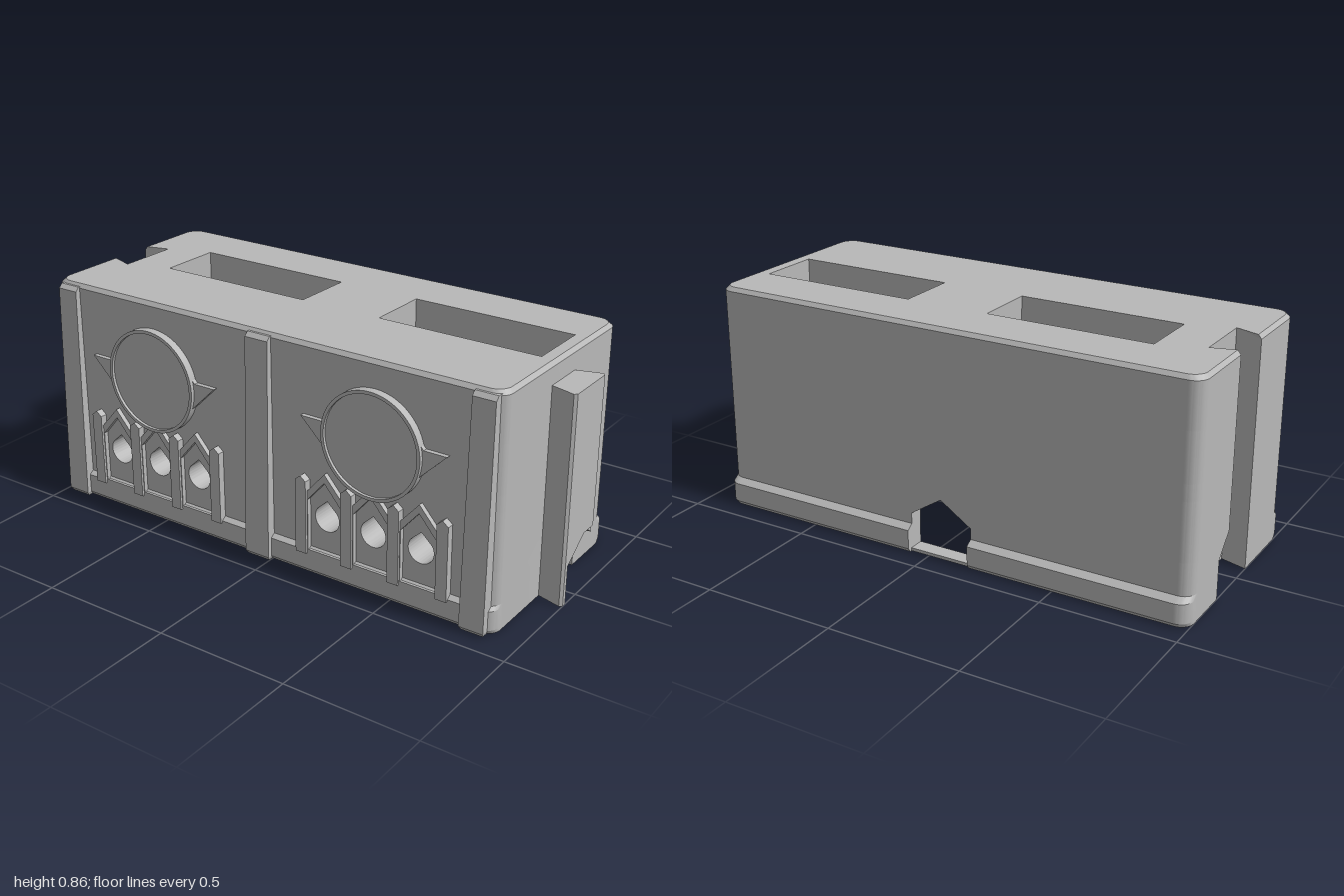
import * as THREE from 'three';
import { toCreasedNormals } from 'three/addons/utils/BufferGeometryUtils.js';

const stone = new THREE.MeshStandardMaterial({ color: 0xb8b8b8 });
stone.name = 'grey stone';

export function createModel() {
  const model = new THREE.Group();
  const add = (name, geometry) => {
    const mesh = new THREE.Mesh(toCreasedNormals(geometry, 0.22), stone);
    mesh.name = name;
    model.add(mesh);
  };

  // Solid through stacked [y, plan] levels; plans are [x, z] points, holes run straight up
  function loft(name, levels, holes = []) {
    const v2 = (pts) => pts.map(([x, z]) => new THREE.Vector2(x, z));
    const ccw = !THREE.ShapeUtils.isClockWise(v2(levels[0][1]));
    const rows = levels.map(([y, p]) => [y, v2(ccw ? p : [...p].reverse())]);
    const cuts = holes.map((h) => {
      const p = v2(h);
      return THREE.ShapeUtils.isClockWise(p) ? p : p.reverse();
    });
    const out = [];
    const put = (y, p) => out.push(p.x, y, p.y);
    const cap = ([y, contour], up) => {
      const all = [contour, ...cuts].flat();
      for (const [a, b, c] of THREE.ShapeUtils.triangulateShape(contour, cuts)) {
        for (const i of up ? [c, b, a] : [a, b, c]) put(y, all[i]);
      }
    };
    const side = (y0, p0, y1, p1) => p0.forEach((a, i) => {
      const j = (i + 1) % p0.length;
      put(y0, a); put(y1, p1[i]); put(y1, p1[j]);
      put(y0, a); put(y1, p1[j]); put(y0, p0[j]);
    });
    const first = rows[0], last = rows[rows.length - 1];
    cap(first, false);
    cap(last, true);
    for (let k = 0; k + 1 < rows.length; k++) side(...rows[k], ...rows[k + 1]);
    for (const c of cuts) side(first[0], c, last[0], c);
    const g = new THREE.BufferGeometry();
    g.setAttribute('position', new THREE.Float32BufferAttribute(out, 3));
    add(name, g);
  }
  // Extrusion of a front-facing shape from z0 to z1
  function plate(name, shape, z0, z1) {
    const g = new THREE.ExtrudeGeometry(shape, { depth: z1 - z0, bevelEnabled: false, curveSegments: 48 });
    add(name, g.translate(0, 0, z0));
  }
  const polygon = (pts) => new THREE.Shape(pts.map(([x, y]) => new THREE.Vector2(x, y)));
  const rect = (x0, x1, z0, z1) => [[x0, z0], [x1, z0], [x1, z1], [x0, z1]];
  const circle = (x, z, r) => Array.from({ length: 20 }, (_, i) =>
    [x + r * Math.cos(i * Math.PI / 10), z + r * Math.sin(i * Math.PI / 10)]);
  // Rounded outside corner at (x, z), starting at angle a (quarter turns)
  const corner = (x, z, a, r = 0.05) => Array.from({ length: 13 }, (_, i) => {
    const t = (a + i / 12) * Math.PI / 2;
    return [x - Math.sign(x) * r + r * Math.cos(t), z - Math.sign(z) * r + r * Math.sin(t)];
  });
  const mix = (a, b, t) => a + (b - a) * t;

  // Inner faces of the hollow
  const inL = -0.86, inR = 0.845, inBack = -0.345, inFront = 0.245;

  // Upper block with the dovetail groove, bevelled top edge and two stepped pockets
  const outline = (d) => [
    ...corner(0.9 - d, 0.39 - d, 0), ...corner(-1 + d, 0.39 - d, 1),
    [-1 + d, 0.08], [-0.9, 0.11], [-0.9, -0.125], [-1 + d, -0.1],
    ...corner(-1 + d, -0.4 + d, 2), ...corner(0.9 - d, -0.4 + d, 3)];
  const offsets = [0, 0.953];
  const pockets = offsets.map((o) => rect(-0.735 + o, -0.108 + o, -0.185, 0.055));
  const wells = offsets.flatMap((o) => [rect(-0.64 + o, -0.2 + o, -0.185, 0.055),
    circle(-0.685 + o, -0.065, 0.018), circle(-0.16 + o, -0.065, 0.018)]);
  const cableHoles = offsets.map((o) => rect(-0.64 + o, -0.545 + o, -0.12, -0.01));
  loft('upperBlock', [[0.68, outline(0)], [0.845, outline(0)], [0.86, outline(0.012)]], pockets);
  loft('pocketLedges', [[0.5, outline(0)], [0.68, outline(0)]], wells);
  loft('ceiling', [[0.44, outline(0)], [0.5, outline(0)]], cableHoles);

  // Pocket boxes, with a lower lip that follows the tunnel roof beside the cable hole
  offsets.forEach((o, i) => {
    const x0 = -0.735 + o, x1 = -0.18 + o, h0 = -0.64 + o, h1 = -0.545 + o;
    const p = rect(x0, x1, -0.21, 0.08);
    loft('pocketBox', [[0.222, p], [0.44, p]], [cableHoles[i]]);
    for (const [a, b, limit] of [[x0, h0, -0.068], [h0, h1, -0.12], [h1, x1, -0.068]]) {
      loft('pocketBoxLip', [[0.193, rect(a, b, -0.21, Math.min(-0.11, limit))], [0.223, rect(a, b, -0.21, limit)]]);
    }
  });

  // End walls above the tunnel
  const span = (name, p, y0 = 0.225, y1 = 0.44) => loft(name, [[y0, p], [y1, p]]);
  span('grooveEndWall', [[inL, 0.39], ...corner(-1, 0.39, 1), [-1, 0.08], [-0.9, 0.11],
    [-0.9, -0.125], [-1, -0.1], ...corner(-1, -0.4, 2), [inL, -0.4]]);
  span('tongueEndWall', [...corner(0.9, 0.39, 0), [inR, 0.39], [inR, -0.4], ...corner(0.9, -0.4, 3)]);
  span('backWall', rect(inL, inR, -0.4, inBack));

  // Lower walls, closing towards the gabled tunnel: t runs from open to closed
  const legs = {
    grooveFrontLeg: (t) => [[inL, 0.39], ...corner(-1, 0.39, 1), [-1, 0.08], [-0.9, 0.11],
      [-0.899, mix(0.077, -0.035, t)], [inL, mix(0.077, -0.035, t)]],
    grooveBackLeg: (t) => [...corner(-1, -0.4, 2), [inL, -0.4], [inL, mix(-0.175, -0.065, t)],
      [-0.899, mix(-0.175, -0.065, t)], [-0.9, mix(-0.175, -0.125, t)], [-1, mix(-0.175, -0.1, t)]],
    tongueFrontLeg: (t) => [...corner(0.9, 0.39, 0), [inR, 0.39],
      [inR, mix(0.077, -0.035, t)], [0.9, mix(0.077, -0.035, t)]],
    tongueBackLeg: (t) => [[inR, -0.4], ...corner(0.9, -0.4, 3),
      [0.9, mix(-0.175, -0.065, t)], [inR, mix(-0.175, -0.065, t)]],
    backLowerWallA: (t) => rect(inL, mix(-0.17, -0.05, t), -0.4, inBack),
    backLowerWallB: (t) => rect(mix(0.075, -0.045, t), inR, -0.4, inBack),
  };
  for (const [name, f] of Object.entries(legs)) loft(name, [[0, f(0)], [0.147, f(0)], [0.225, f(1)]]);
  span('doorwayStrip', rect(-0.17, 0.075, -0.405, inBack), 0, 0.012);

  // Dovetail tongue with chamfered edges, cut away below by the tunnel
  span('tongue', [[0.9, 0.078], [0.99, 0.103], [1, 0.094], [1, -0.102], [0.99, -0.112], [0.9, -0.085]], 0.225, 0.78);
  const foot = (t) => [[0.9, 0.078], [0.99, 0.103], [1, 0.094], [1, mix(0.077, -0.035, t)], [0.9, mix(0.077, -0.035, t)]];
  loft('tongueFoot', [[0, foot(0)], [0.147, foot(0)], [0.225, foot(1)]]);
  const heel = (a, b) => [[0.9, -0.085], [0.9, a], [0.99, b], [0.99, -0.112]];
  loft('tongueHeel', [[0.192, heel(-0.0849, -0.1119)], [0.211, heel(-0.0848, -0.085)], [0.225, heel(-0.065, -0.065)]]);

  // Plinth mouldings with chamfered foot and sloped top
  const mould = (name, f) => loft(name, [[0, f(0.012)], [0.016, f(0)], [0.088, f(0)], [0.106, f(0.025)]]);
  mould('backPlinth', (d) => [...corner(-1, -0.425 + d, 2), [-0.17, -0.425 + d], [-0.17, -0.37], [-1, -0.345]]);
  mould('backPlinth', (d) => [[0.075, -0.425 + d], ...corner(0.9, -0.425 + d, 3), [0.9, -0.345], [0.075, -0.37]]);
  mould('frontPlinth', (d) => [...corner(0.9, 0.408 - d, 0), ...corner(-1, 0.408 - d, 1), [-1, 0.33], [0.9, 0.33]]);

  // Front wall with teardrop window openings, on a slotted base
  const centres = [-0.528, 0.425], bays = [-0.19, 0, 0.19];
  const wall = polygon([[inL, 0.1], [inR, 0.1], [inR, 0.44], [inL, 0.44]]);
  for (const c of centres) for (const b of bays) {
    const hole = new THREE.Path();
    hole.absarc(c + b, 0.228, 0.05, Math.PI * 0.8, Math.PI * 2.2, false);
    hole.lineTo(c + b, 0.295);
    hole.closePath();
    wall.holes.push(hole);
  }
  plate('frontWall', wall, inFront, 0.39);
  loft('frontBase', [[0, rect(inL, inR, inFront, 0.345)], [0.1, rect(inL, inR, inFront, 0.39)]],
    [rect(-0.83, -0.13, 0.303, 0.328), rect(0.12, 0.8, 0.303, 0.328)]);

  // Leaning buttresses
  for (const [x0, x1] of [[-0.975, -0.882], [-0.1, 0.003], [0.787, 0.88]]) {
    loft('buttress', [[0, rect(x0 + 0.006, x1 - 0.006, 0.36, 0.415)], [0.016, rect(x0, x1, 0.36, 0.427)],
      [0.835, rect(x0 + 0.008, x1, 0.36, 0.41)], [0.85, rect(x0 + 0.008, x1, 0.36, 0.395)]]);
  }

  for (const c of centres) {
    // Round medallion with a thin rim and pointed side wings
    const disc = new THREE.Shape().absarc(c, 0.565, 0.188, 0, Math.PI * 2);
    plate('medallionDisc', disc, 0.385, 0.41);
    const rim = new THREE.Shape().absarc(c, 0.565, 0.196, 0, Math.PI * 2);
    rim.holes.push(new THREE.Path().absarc(c, 0.565, 0.184, 0, Math.PI * 2, true));
    plate('medallionRim', rim, 0.385, 0.421);
    for (const s of [-1, 1]) {
      const pts = [[0.17, 0.07], [0.2, 0.036], [0.288, 0.036], [0.21, -0.04], [0.17, -0.08]];
      plate('medallionWing', polygon(pts.map(([x, y]) => [c + s * x, 0.565 + y])), 0.385, 0.407);
    }
    // Gabled window frames and the posts between them
    for (const b of bays) {
      const house = (w, y0, y1, top) => [[-w, y0], [w, y0], [w, y1], [0, top], [-w, y1]].map(([x, y]) => [c + b + x, y]);
      const frame = polygon(house(0.092, 0.08, 0.3, 0.405));
      frame.holes.push(polygon(house(0.07, 0.095, 0.29, 0.372)));
      plate('windowFrame', frame, 0.385, 0.408);
    }
    for (const x of [-0.285, -0.095, 0.095, 0.285]) {
      const w = 0.022, p = c + x;
      plate('windowPost', polygon([[p - w, 0.08], [p + w, 0.08], [p + w, 0.36], [p, 0.378], [p - w, 0.36]]), 0.385, 0.417);
    }
  }
  return model;
}
